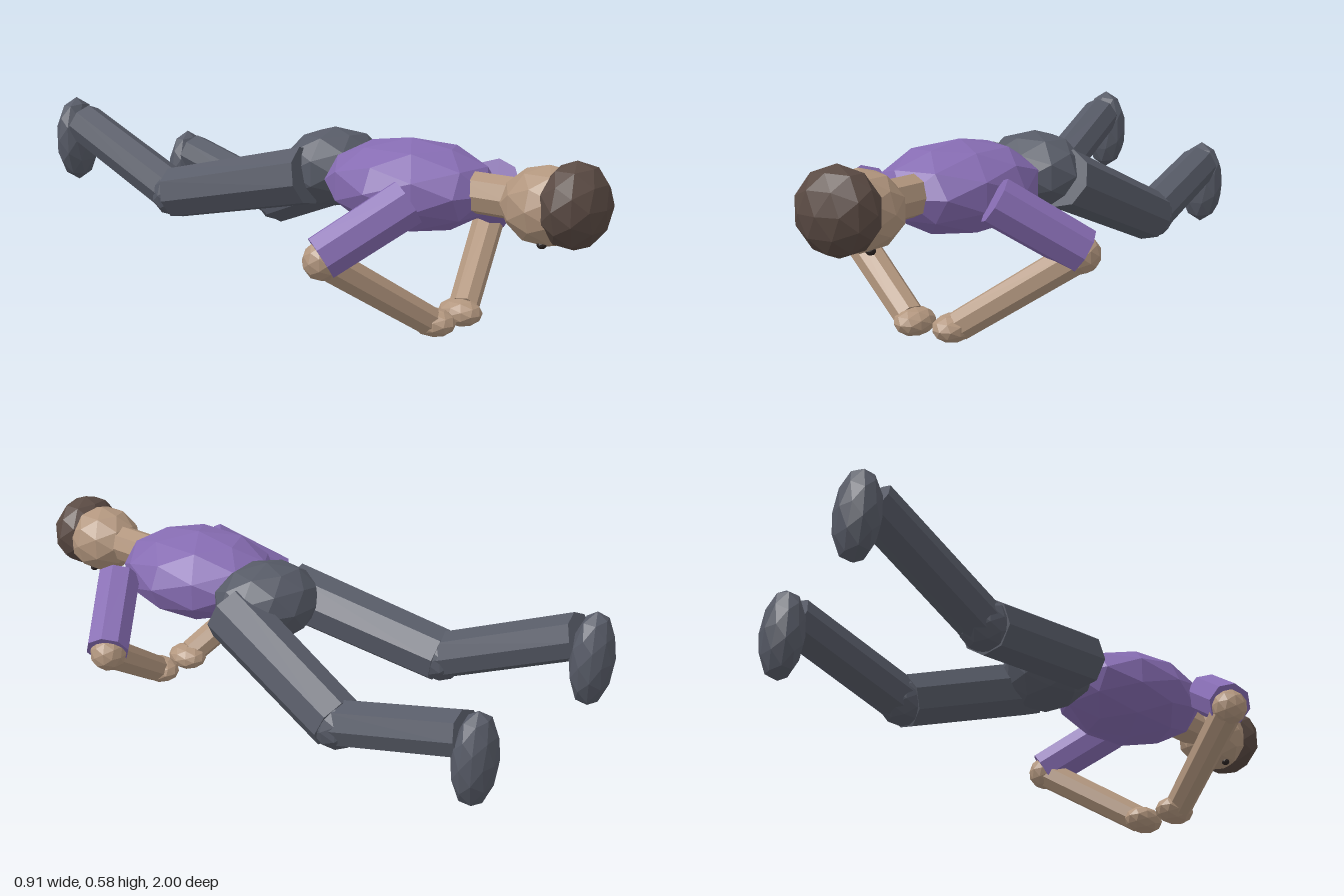
import * as THREE from 'three';

const material = (name, color) => {
  const m = new THREE.MeshStandardMaterial({ color });
  m.name = name;
  return m;
};

// Facet a geometry so that every face is flat
const faceted = (geometry) => {
  const g = geometry.index ? geometry.toNonIndexed() : geometry;
  g.computeVertexNormals();
  return g;
};

export function createModel() {
  const model = new THREE.Group();
  model.name = 'proneFigure';

  const shirt = material('purple shirt', 0x866cb2);
  const skin = material('skin', 0xb2967e);
  const trousers = material('slate trousers', 0x575b67);
  const hair = material('brown hair', 0x5a4a43);
  const eye = material('dark eye', 0x2b2422);

  const add = (name, geometry, mat, parent = model) => {
    const mesh = new THREE.Mesh(faceted(geometry), mat);
    mesh.name = name;
    parent.add(mesh);
    return mesh;
  };

  // Low-poly ellipsoid whose own long axis lies along z
  const blob = (name, center, radii, mat, parent, yaw = 0) => {
    const g = new THREE.IcosahedronGeometry(1, 1);
    g.rotateX(Math.PI / 2);
    g.scale(...radii);
    g.rotateY(yaw);
    g.translate(...center);
    return add(name, g, mat, parent);
  };

  // Eight-sided limb between two points
  const limb = (name, from, to, r0, r1, mat, parent) => {
    const a = new THREE.Vector3(...from);
    const b = new THREE.Vector3(...to);
    const dir = b.clone().sub(a);
    const g = new THREE.CylinderGeometry(r1, r0, dir.length(), 8);
    const mesh = add(name, g, mat, parent);
    mesh.position.copy(a).add(b).multiplyScalar(0.5);
    mesh.quaternion.setFromUnitVectors(new THREE.Vector3(0, 1, 0), dir.normalize());
    return mesh;
  };

  // Trunk
  blob('torso', [0, 0.42, 0.36], [0.22, 0.137, 0.275], shirt);
  blob('pelvis', [0.05, 0.425, 0.025], [0.175, 0.125, 0.145], trousers, model, -0.25);
  limb('neck', [0, 0.425, 0.55], [0, 0.425, 0.74], 0.06, 0.06, skin);

  // Head, face down
  const head = new THREE.Group();
  head.name = 'head';
  model.add(head);
  blob('face', [0, 0.42, 0.825], [0.118, 0.112, 0.135], skin, head);
  blob('hairCap', [0, 0.432, 0.908], [0.125, 0.121, 0.092], hair, head);
  for (const s of [-1, 1]) {
    blob(s > 0 ? 'leftEye' : 'rightEye', [s * 0.042, 0.322, 0.835], [0.014, 0.012, 0.014], eye, head);
  }

  // Arms, mirrored
  for (const s of [-1, 1]) {
    const side = s > 0 ? 'left' : 'right';
    const arm = new THREE.Group();
    arm.name = side + 'Arm';
    model.add(arm);
    const elbow = [s * 0.4, 0.267, 0.372];
    const wrist = [s * 0.085, 0.052, 0.498];
    limb(side + 'Sleeve', [s * 0.213, 0.42, 0.515], [s * 0.405, 0.275, 0.37], 0.07, 0.067, shirt, arm);
    blob(side + 'Elbow', elbow, [0.057, 0.057, 0.057], skin, arm);
    limb(side + 'Forearm', elbow, wrist, 0.049, 0.045, skin, arm);
    blob(side + 'Hand', [s * 0.066, 0.044, 0.5], [0.058, 0.042, 0.07], skin, arm);
  }

  // Legs: hip, knee, ankle and foot centre for each side
  const legs = {
    left: [[0.17, 0.415, 0.06], [0.24, 0.235, -0.405], [0.232, 0.35, -0.825], [0.23, 0.285, -0.855]],
    right: [[-0.085, 0.415, 0.03], [-0.182, 0.31, -0.465], [-0.203, 0.5, -0.9], [-0.203, 0.442, -0.942]],
  };
  for (const [side, [hip, knee, ankle, foot]] of Object.entries(legs)) {
    const leg = new THREE.Group();
    leg.name = side + 'Leg';
    model.add(leg);
    limb(side + 'Thigh', hip, knee, 0.092, 0.084, trousers, leg);
    blob(side + 'Knee', knee, [0.078, 0.078, 0.078], trousers, leg);
    limb(side + 'Shin', knee, ankle, 0.07, 0.068, trousers, leg);
    blob(side + 'Foot', foot, [0.08, 0.143, 0.058], trousers, leg);
  }

  return model;
}
